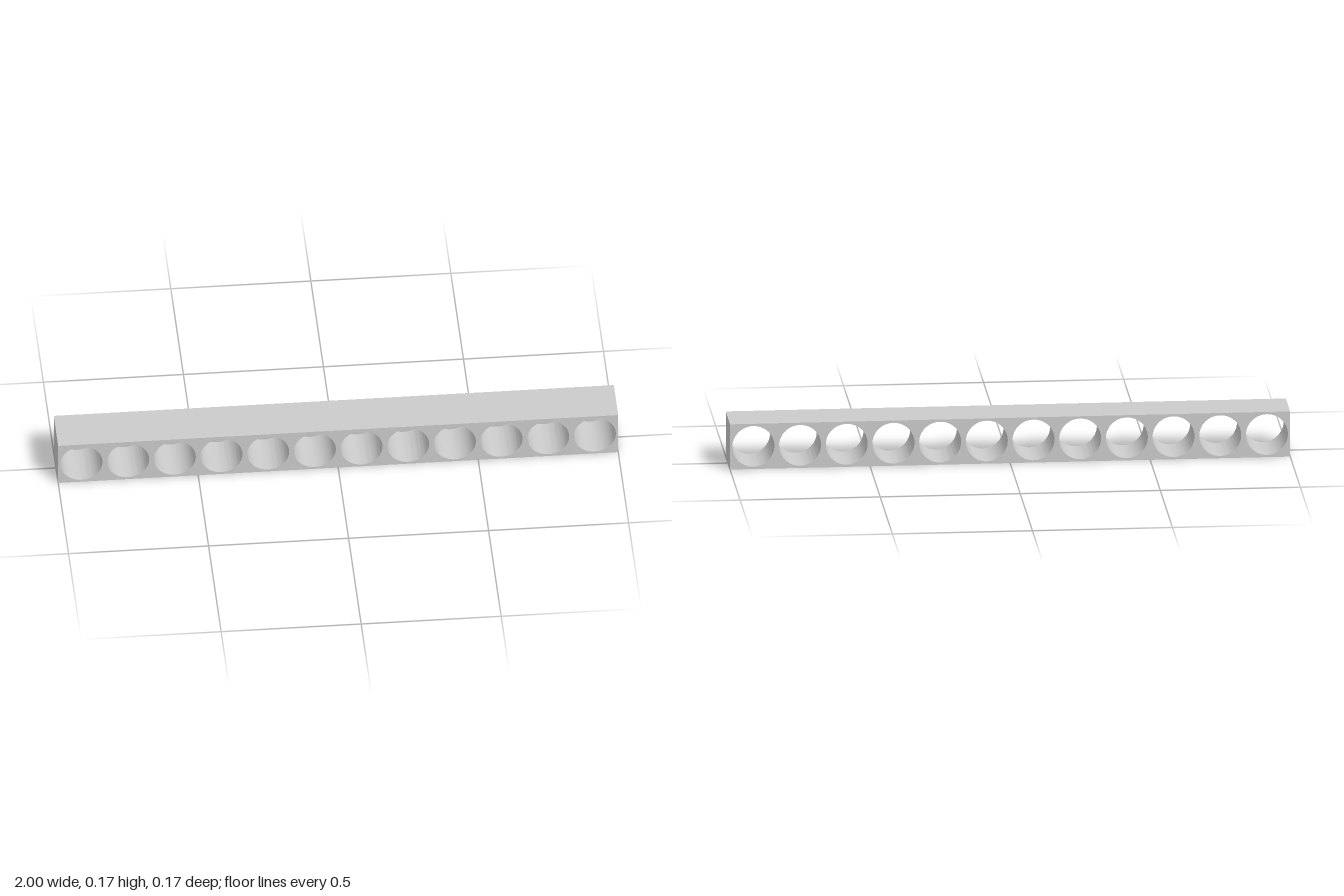
import * as THREE from 'three';
import { toCreasedNormals } from 'three/addons/utils/BufferGeometryUtils.js';

const LENGTH = 2, HOLES = 12, DEPTH = 0.175, RADIUS = 0.075;
const PITCH = LENGTH / HOLES; // one square cell per hole, also the bar height

export function createModel() {
  const group = new THREE.Group();
  group.name = 'perforatedBar';

  // Rectangular face of the bar
  const face = new THREE.Shape();
  face.moveTo(-LENGTH / 2, 0);
  face.lineTo(LENGTH / 2, 0);
  face.lineTo(LENGTH / 2, PITCH);
  face.lineTo(-LENGTH / 2, PITCH);
  face.closePath();

  // Row of round through-holes
  for (let i = 0; i < HOLES; i++) {
    const hole = new THREE.Path();
    hole.absarc(-LENGTH / 2 + (i + 0.5) * PITCH, PITCH / 2, RADIUS, 0, Math.PI * 2, true);
    face.holes.push(hole);
  }

  // Extrude front to back, with smooth bores and sharp rims
  const solid = new THREE.ExtrudeGeometry(face, { depth: DEPTH, bevelEnabled: false, curveSegments: 32 });
  solid.translate(0, 0, -DEPTH / 2);

  const bar = new THREE.Mesh(
    toCreasedNormals(solid, 0.6),
    new THREE.MeshStandardMaterial({ color: 0xcccccc })
  );
  bar.name = 'bar';
  group.add(bar);
  return group;
}
